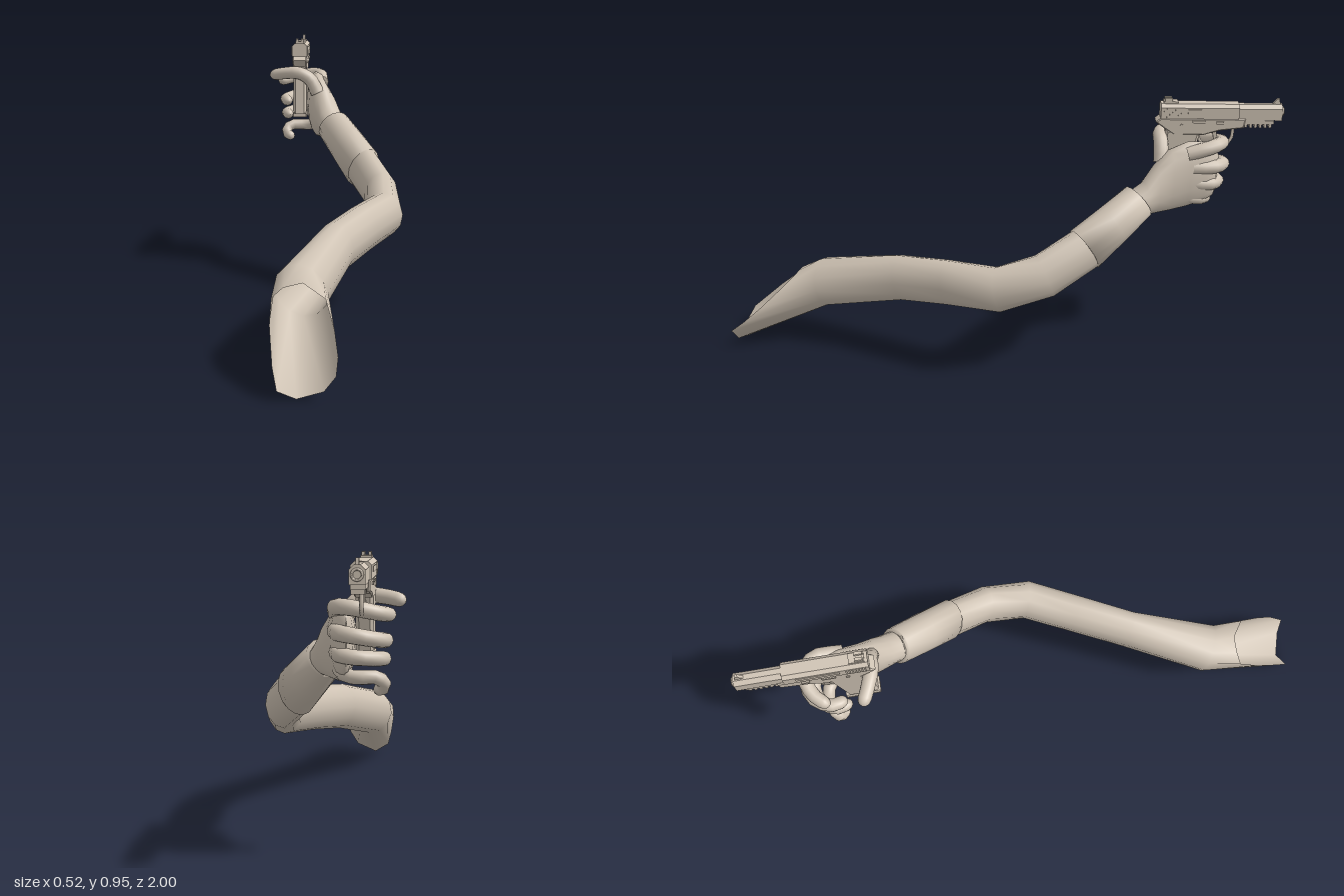
import * as THREE from 'three';

const tan = new THREE.MeshStandardMaterial({ color: 0xcfc3b4, side: THREE.DoubleSide });
tan.name = 'warm beige';
const GX = -0.142; // centre line of the pistol

const V = (p) => new THREE.Vector3(p[0], p[1], p[2]);

// Elliptical cross-sections [x, y, z, half width, half height] along a path
function sections(path, sides, fixedDir) {
  const c = path.map(V);
  return path.map((p, i) => {
    const t = fixedDir ? V(fixedDir) : c[Math.min(i + 1, c.length - 1)].clone().sub(c[Math.max(i - 1, 0)]);
    t.normalize();
    const side = t.clone().cross(new THREE.Vector3(0, 1, 0)).normalize();
    const up = side.clone().cross(t);
    return Array.from({ length: sides }, (_, j) => {
      const a = (j / sides) * Math.PI * 2;
      return c[i].clone().addScaledVector(side, Math.cos(a) * p[3]).addScaledVector(up, Math.sin(a) * p[4]);
    });
  });
}

// Smooth skin over a list of rings
function skin(name, rings) {
  const n = rings[0].length, pos = [], idx = [];
  rings.forEach((r) => r.forEach((v) => pos.push(v.x, v.y, v.z)));
  for (let i = 0; i < rings.length - 1; i++) {
    for (let j = 0; j < n; j++) {
      const a = i * n + j, b = i * n + ((j + 1) % n);
      idx.push(a, a + n, b, b, a + n, b + n);
    }
  }
  const g = new THREE.BufferGeometry();
  g.setAttribute('position', new THREE.Float32BufferAttribute(pos, 3));
  g.setIndex(idx);
  g.computeVertexNormals();
  return mesh(name, g);
}

function mesh(name, geometry) {
  const m = new THREE.Mesh(geometry, tan);
  m.name = name;
  return m;
}

// Tapered finger with a rounded tip
function finger(name, points, r) {
  const curve = new THREE.CatmullRomCurve3(points.map(V));
  const path = [0, .1, .2, .3, .4, .5, .6, .7, .8, .9, .94, .97, .99, 1].map((t) => {
    const p = curve.getPoint(t);
    const round = t > 0.9 ? Math.sqrt(Math.max(0, 1 - ((t - 0.9) / 0.1) ** 2)) : 1;
    const k = r * (1 - 0.18 * t) * round + 0.0005;
    return [p.x, p.y, p.z, k, k];
  });
  return skin(name, sections(path, 12));
}

// Side profile in (distance forward, height), given a thickness across x
function plate(name, pts, width, x = GX, bevel = 0.004) {
  const s = new THREE.Shape(pts.map((p) => new THREE.Vector2(p[0], p[1])));
  const g = new THREE.ExtrudeGeometry(s, {
    depth: width - 2 * bevel, bevelEnabled: bevel > 0, bevelThickness: bevel, bevelSize: bevel,
    bevelOffset: -bevel, bevelSegments: 1,
  });
  g.translate(0, 0, -(width - 2 * bevel) / 2).rotateY(Math.PI / 2).translate(x, 0, 0);
  return mesh(name, g);
}

// Chamfered bar running along z
function bar(name, w, y0, y1, zBack, zFront, c = 0.012) {
  const h = w / 2;
  const s = new THREE.Shape([[-h, y0], [h, y0], [h, y1 - c], [h - c, y1], [c - h, y1], [-h, y1 - c]].map((p) => new THREE.Vector2(...p)));
  const g = new THREE.ExtrudeGeometry(s, { depth: zBack - zFront, bevelEnabled: false });
  return mesh(name, g.translate(GX, 0, zFront));
}

function box(name, sx, sy, sz, x, y, z) {
  return mesh(name, new THREE.BoxGeometry(sx, sy, sz).translate(x, y, z));
}

function makeArm() {
  const g = new THREE.Group();
  g.name = 'arm';
  // slanted open end of the sleeve
  const opening = [
    [.04, .12, .95], [.03, .17, .89], [0, .25, .8], [-.07, .285, .75], [-.13, .27, .75], [-.165, .24, .76],
    [-.165, .18, .84], [-.15, .09, .95], [-.135, .03, .985], [-.08, 0, .965], [0, .03, .985], [.035, .08, 1],
  ].map(V);
  const sleeve = sections([
    [-.08, .236, .65, .09, .09], [.022, .306, .36, .064, .087], [.105, .33, .18, .066, .084],
    [.19, .347, 0, .068, .083], [.178, .397, -.16, .062, .084], [.112, .47, -.3, .06, .084], [.07, .52, -.37, .05, .07],
  ], 12);
  g.add(skin('sleeve', [opening, ...sleeve]));
  g.add(skin('cuff', sections([
    [.111, .471, -.302, .052, .07], [.112, .47, -.3, .066, .09], [.055, .537, -.395, .067, .079],
    [-.004, .606, -.49, .065, .068], [-.003, .605, -.488, .05, .05],
  ], 16)));
  return g;
}

function makeHand() {
  const g = new THREE.Group();
  g.name = 'hand';
  g.add(skin('palm', sections([
    [.01, .59, -.46, .052, .052], [-.012, .613, -.51, .053, .06], [-.035, .642, -.55, .052, .092],
    [-.06, .665, -.6, .05, .117], [-.072, .682, -.66, .046, .124], [-.08, .69, -.72, .038, .115],
    [-.09, .69, -.76, .025, .095], [-.095, .69, -.775, .001, .06],
  ], 16, [-.3, 0, -.95])));
  g.add(finger('thumb', [[-.07, .73, -.57], [-.1, .785, -.57], [-.145, .81, -.568], [-.2, .808, -.585], [-.262, .797, -.612]], .027));
  g.add(finger('indexFinger', [[-.055, .765, -.66], [-.065, .79, -.75], [-.115, .79, -.788], [-.185, .775, -.77], [-.232, .765, -.72]], .026));
  g.add(finger('middleFinger', [[-.055, .715, -.68], [-.068, .715, -.76], [-.115, .71, -.795], [-.18, .698, -.775], [-.207, .69, -.72], [-.19, .685, -.67]], .026));
  g.add(finger('ringFinger', [[-.06, .655, -.68], [-.07, .65, -.75], [-.115, .645, -.78], [-.175, .64, -.76], [-.202, .634, -.71], [-.185, .632, -.66]], .025));
  g.add(finger('littleFinger', [[-.065, .605, -.64], [-.075, .59, -.71], [-.12, .58, -.742], [-.175, .582, -.735], [-.203, .565, -.72], [-.195, .54, -.705], [-.175, .545, -.69]], .023));
  return g;
}

function makePistol() {
  const g = new THREE.Group();
  g.name = 'pistol';
  // frame, grip and magazine base
  g.add(plate('frame', [[.565, .876], [.549, .862], [.585, .835], [.615, .815], [.72, .815], [.775, .832], [.86, .842], [.865, .876]], .056));
  g.add(plate('grip', [[.585, .835], [.71, .83], [.695, .76], [.668, .645], [.565, .645], [.575, .74]], .054, GX, .01));
  g.add(plate('magazineBase', [[.558, .647], [.676, .647], [.676, .628], [.558, .632]], .058));
  // slide and slimmer front shroud
  g.add(bar('slide', .062, .876, .928, -.565, -.84));
  g.add(bar('frontShroud', .046, .87, .925, -.83, -.992, .014));
  g.add(bar('dustCover', .042, .855, .872, -.84, -.965, .003));
  // rail ribs under the muzzle
  for (let i = 0; i < 6; i++) g.add(box('railRib', .04, .014, .009, GX, .849, -.868 - i * .017));
  // muzzle
  const muzzle = new THREE.CylinderGeometry(.014, .014, .03, 16, 1, true).rotateX(Math.PI / 2).translate(GX, .898, -.985);
  g.add(mesh('barrel', muzzle));
  g.add(mesh('muzzleRing', new THREE.TorusGeometry(.015, .004, 8, 20).translate(GX, .898, -.994)));
  // sights
  for (const s of [-1, 1]) g.add(box('rearSight', .01, .02, .026, GX + s * .01, .936, -.592));
  g.add(box('rearSightBase', .034, .01, .05, GX, .93, -.6));
  g.add(plate('frontSight', [[.955, .922], [.985, .922], [.982, .944], [.973, .944]], .01, GX, 0));
  // details mirrored on both flanks
  for (const s of [-1, 1]) {
    for (let i = 0; i < 7; i++) g.add(box('slideSerration', .004, .034, .005, GX + s * .031, .898, -.578 - i * .01));
    g.add(box('sidePanel', .004, .016, .14, GX + s * .031, .903, -.73));
    g.add(box('slideCatch', .008, .009, .045, GX + s * .029, .866, -.70));
    g.add(box('safetyLever', .008, .01, .026, GX + s * .029, .862, -.775));
    g.add(mesh('framePin', new THREE.CylinderGeometry(.006, .006, .006, 10).rotateZ(Math.PI / 2).translate(GX + s * .029, .85, -.64)));
  }
  // trigger and its guard
  const loop = [[.7, .815], [.715, .782], [.75, .768], [.8, .771], [.822, .795], [.826, .84]];
  const curve = new THREE.CatmullRomCurve3(loop.map(([s, y]) => new THREE.Vector3(GX, y, -s)));
  g.add(mesh('triggerGuard', new THREE.TubeGeometry(curve, 20, .006, 6)));
  g.add(plate('trigger', [[.752, .83], [.768, .83], [.772, .79], [.765, .782], [.758, .8]], .014, GX, 0));
  return g;
}

export function createModel() {
  const model = new THREE.Group();
  model.name = 'armWithPistol';
  model.add(makeArm(), makeHand(), makePistol());
  return model;
}
